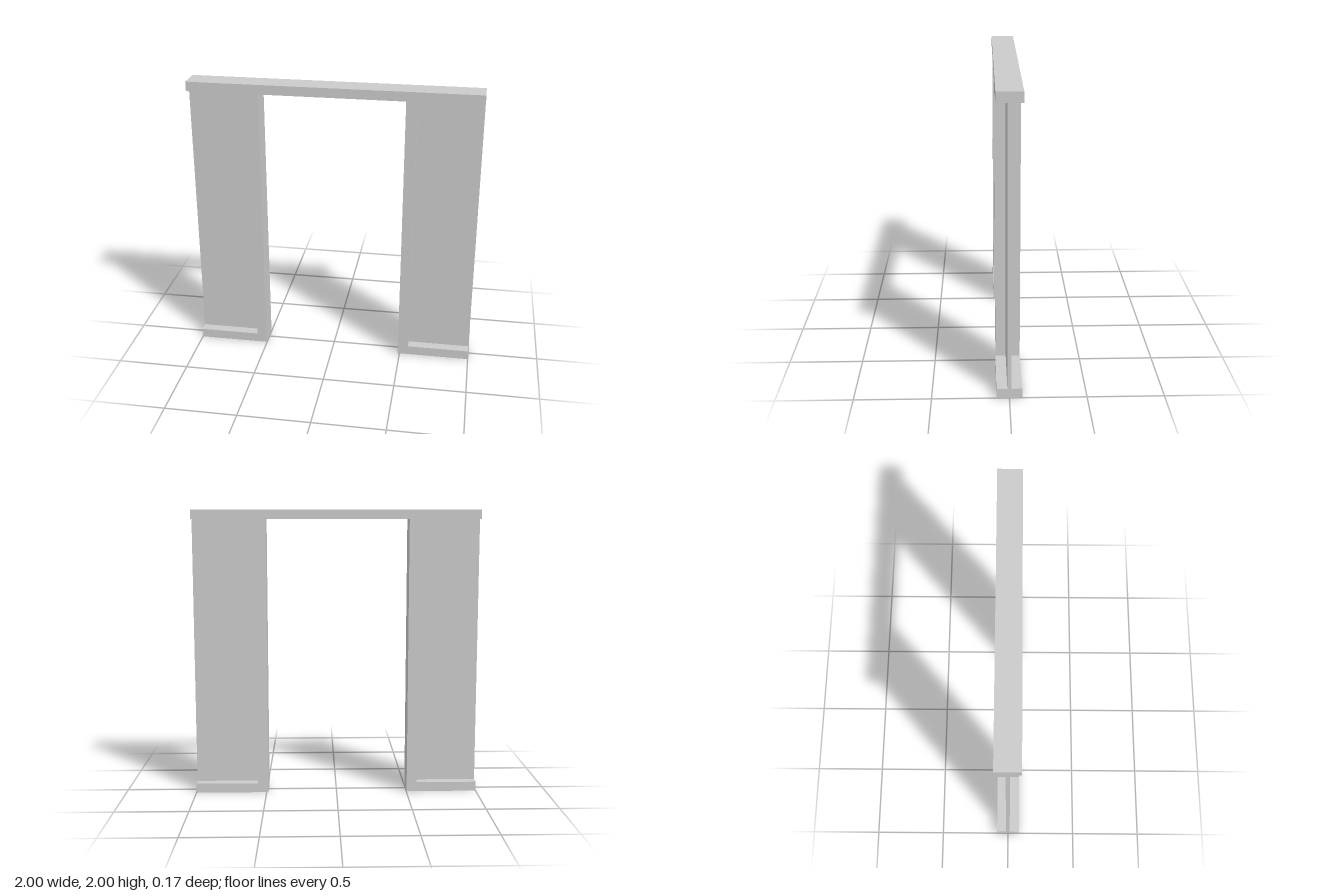
import * as THREE from 'three';

const DEPTH = 0.166;      // frame depth along z
const PANEL = 0.026;      // infill panel thickness
const HEIGHT = 2, RAIL = 0.066;
// Doorway edges and inner edges of the posts (x)
const LEFT = { door: 0.487, post: 0.561 };
const RIGHT = { door: -0.503, post: -0.572 };

const material = new THREE.MeshStandardMaterial({ color: 0xcccccc, flatShading: true });

function addMesh(group, name, geometry) {
  const mesh = new THREE.Mesh(geometry, material);
  mesh.name = name;
  group.add(mesh);
  return mesh;
}

// Outline from the doorway's top corner, down the post, round the sill and
// the outward-open bay, up to the header's outer top corner
function sideOutline({ door, post }) {
  const end = Math.sign(door);
  const top = HEIGHT - RAIL;
  return [
    [door, top], [door, 0], [end, 0], [end, RAIL],
    [post, RAIL], [post, top], [end, top], [end, HEIGHT],
  ].map(([x, y]) => new THREE.Vector2(x, y));
}

export function createModel() {
  const model = new THREE.Group();
  model.name = 'doorwayWall';

  // Header, posts and sills as one continuous frame
  const outline = [...sideOutline(LEFT), ...sideOutline(RIGHT).reverse()];
  const frame = new THREE.ExtrudeGeometry(new THREE.Shape(outline), {
    depth: DEPTH, bevelEnabled: false,
  });
  frame.translate(0, 0, -DEPTH / 2);
  addMesh(model, 'frame', frame);

  // Thin panels filling the bays on each side of the doorway
  for (const [name, { post }] of [['leftPanel', LEFT], ['rightPanel', RIGHT]]) {
    const end = Math.sign(post);
    const panel = addMesh(model, name,
      new THREE.BoxGeometry(Math.abs(end - post), HEIGHT - 2 * RAIL, PANEL));
    panel.position.set((end + post) / 2, HEIGHT / 2, 0);
  }

  return model;
}
